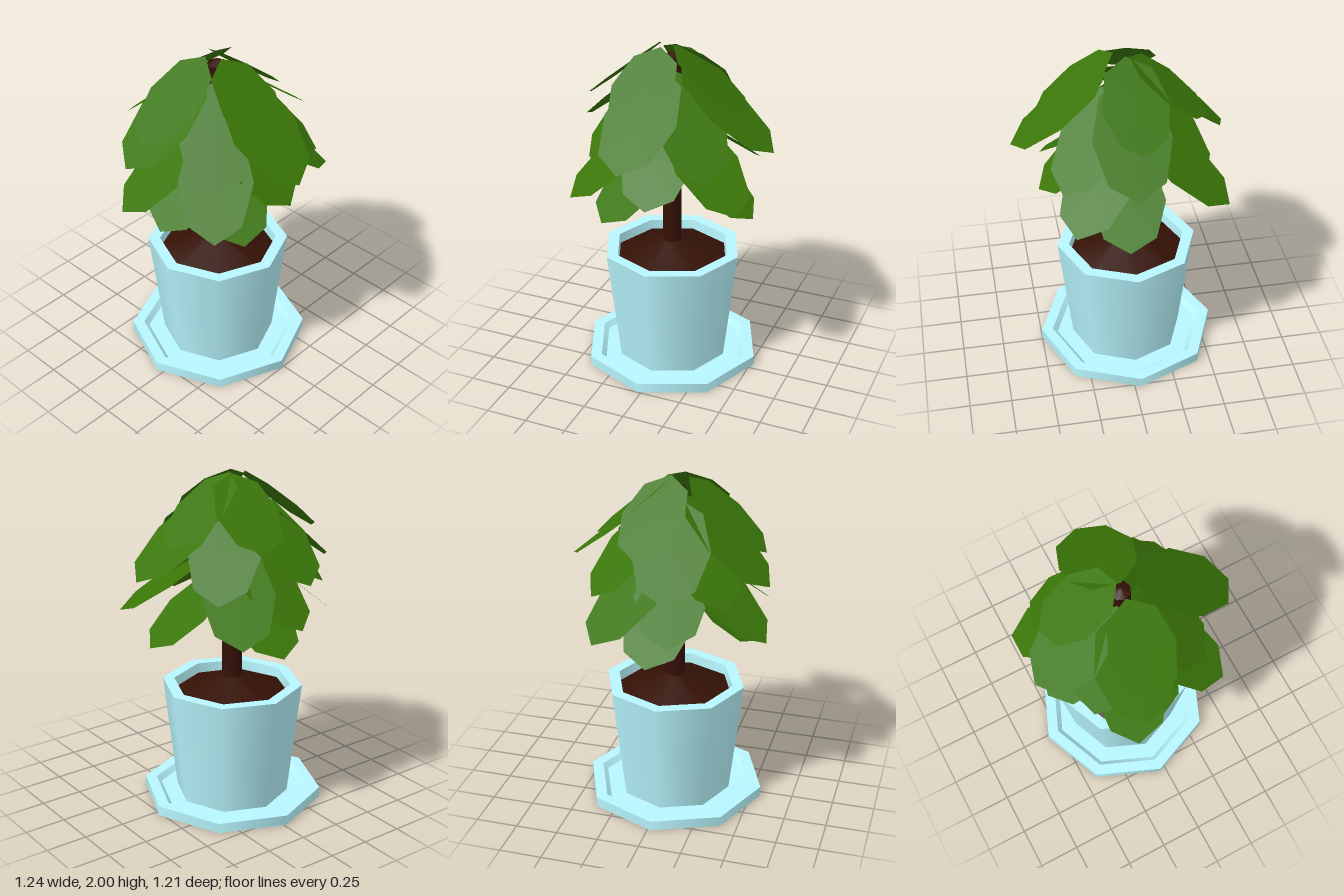
import * as THREE from 'three';

const CX = -0.04, CZ = 0.02; // axis of the pot and trunk

const blue = new THREE.MeshStandardMaterial({ color: 0xb7f5fd });
const brown = new THREE.MeshStandardMaterial({ color: 0x341105 });
const green = new THREE.MeshStandardMaterial({ color: 0x3a7608, side: THREE.DoubleSide, flatShading: true });

// Eight-sided turned part; inner corners are doubled so each edge stays crisp
function turned(name, profile, material) {
  const points = [];
  profile.forEach(([r, y], i) => {
    points.push(new THREE.Vector2(r, y));
    if (i > 0 && i < profile.length - 1) points.push(new THREE.Vector2(r, y));
  });
  const mesh = new THREE.Mesh(new THREE.LatheGeometry(points, 8), material);
  mesh.name = name;
  mesh.position.set(CX, 0, CZ);
  return mesh;
}

// Flat octagonal leaf stretched from its stem end to its tip
function leaf(name, stem, tip, width) {
  const a = new THREE.Vector3(...stem), b = new THREE.Vector3(...tip);
  const along = b.clone().sub(a);
  const half = along.length() / 2;
  along.normalize();
  const side = new THREE.Vector3(0, 1, 0).cross(along).normalize();
  const normal = along.clone().cross(side);
  const geometry = new THREE.CircleGeometry(1, 8).scale(half, width / 2, 1);
  geometry.applyMatrix4(new THREE.Matrix4().makeBasis(along, side, normal));
  const mesh = new THREE.Mesh(geometry, green);
  mesh.name = name;
  mesh.position.copy(a.add(b).multiplyScalar(0.5));
  return mesh;
}

export function createModel() {
  const group = new THREE.Group();
  group.name = 'pottedPlant';

  // Saucer, pot with open rim, mounded soil and trunk
  group.add(
    turned('saucer', [[0, 0], [0.54, 0], [0.54, 0.06], [0.47, 0.06], [0.44, 0.03], [0, 0.03]], blue),
    turned('pot', [[0, 0.03], [0.34, 0.03], [0.42, 0.73], [0.35, 0.73], [0.34, 0.62], [0, 0.62]], blue),
    turned('soil', [[0.345, 0.67], [0.07, 0.78], [0, 0.78]], brown),
    turned('trunk', [[0.06, 0.7], [0.058, 1.93], [0, 1.96]], brown),
  );

  // Upper tiers: stem end and tip of each leaf
  const crown = [
    [[-0.05, 2.0, 0.1], [-0.1, 1.62, 0.56]],
    [[-0.03, 2.0, 0.01], [-0.07, 1.63, -0.44]],
    [[0.03, 2.0, 0.06], [0.48, 1.64, 0.09]],
    [[-0.05, 2.0, 0.0], [-0.48, 1.64, -0.09]],
  ];
  const upper = [
    [[-0.08, 1.9, 0.09], [-0.18, 1.45, 0.6]],
    [[-0.02, 1.9, -0.04], [0, 1.46, -0.61]],
    [[0.07, 1.9, 0.03], [0.62, 1.46, 0.07]],
    [[-0.12, 1.9, 0.05], [-0.62, 1.46, 0.12]],
  ];
  crown.forEach(([a, b]) => group.add(leaf('crownLeaf', a, b, 0.38)));
  upper.forEach(([a, b]) => group.add(leaf('upperLeaf', a, b, 0.44)));

  // Lower tiers: leaves spring from the trunk towards each tip
  const tiers = [
    ['middleLeaf', 1.86, [[0.3, 1.39, 0.39], [-0.4, 1.38, 0.4], [-0.42, 1.38, -0.36], [0.38, 1.38, -0.36]]],
    ['lowerLeaf', 1.6, [[0.38, 1.15, 0.48], [-0.23, 1.13, 0.6], [-0.56, 1.18, 0.12],
      [-0.58, 1.16, -0.31], [0.33, 1.19, -0.52], [0.48, 1.2, -0.03]]],
    ['bottomLeaf', 1.42, [[-0.03, 1.04, 0.5], [-0.56, 1.04, -0.01], [0.03, 1.04, -0.51], [0.41, 1.04, 0.27]]],
  ];
  for (const [name, y, tips] of tiers) {
    for (const tip of tips) {
      const dx = tip[0] - CX, dz = tip[2] - CZ;
      const s = 0.06 / Math.hypot(dx, dz);
      group.add(leaf(name, [CX + dx * s, y, CZ + dz * s], tip, 0.42));
    }
  }
  return group;
}
